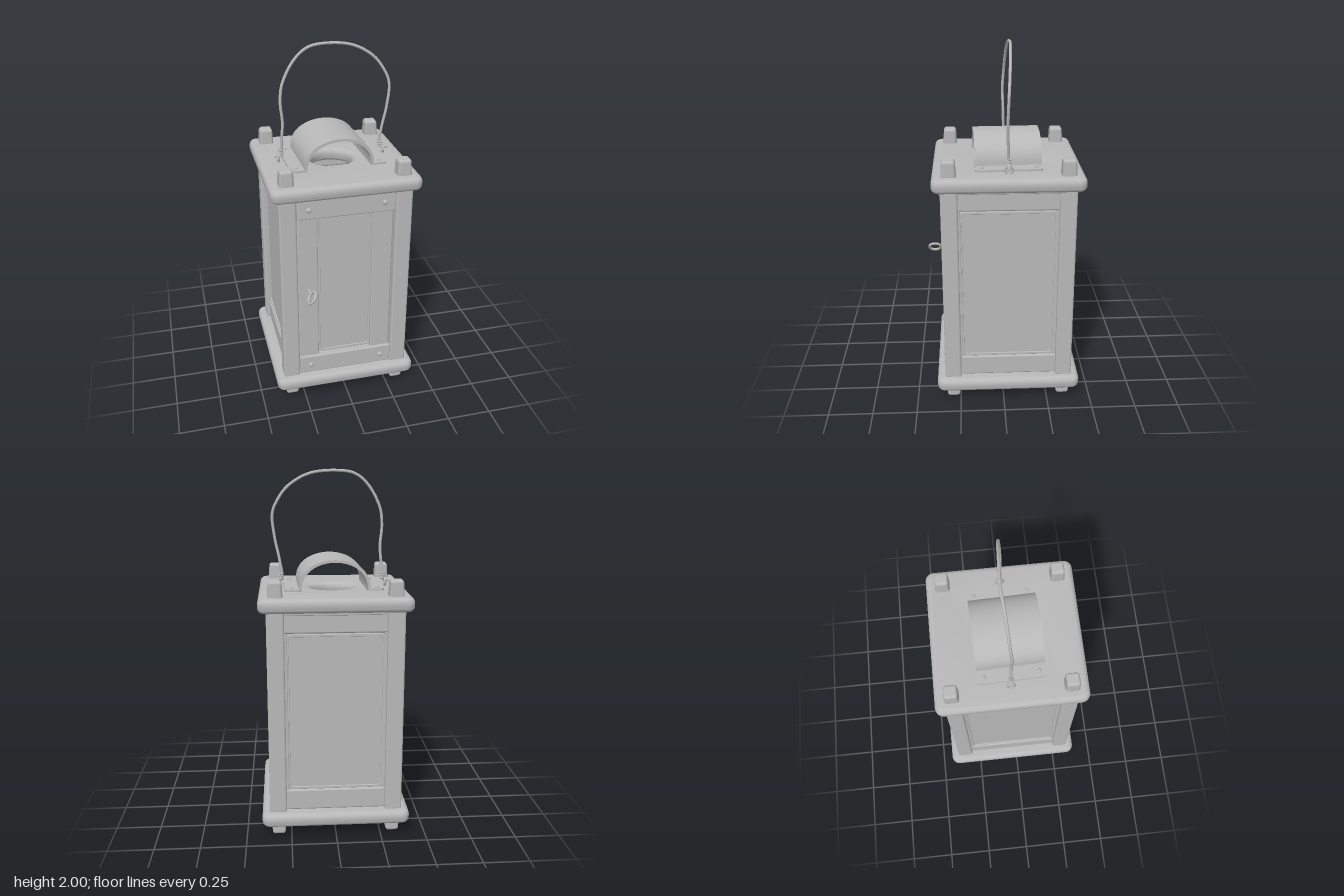
import * as THREE from 'three';
import { toCreasedNormals } from 'three/addons/utils/BufferGeometryUtils.js';
import { RoundedBoxGeometry } from 'three/addons/geometries/RoundedBoxGeometry.js';

const CZ = -0.027; // depth centre of the lantern body

export function createModel() {
  const root = new THREE.Group();
  const grey = new THREE.MeshStandardMaterial({ color: 0xb8b8b8 });

  const add = (name, geo, x = 0, y = 0, z = 0, parent = root) => {
    const m = new THREE.Mesh(geo, grey);
    m.name = name;
    m.position.set(x, y, z);
    parent.add(m);
    return m;
  };
  const bar = (w, h, d, r = 0.01) => new RoundedBoxGeometry(w, h, d, 3, r);

  const roundRect = (w, h, r, Type = THREE.Shape) => {
    const s = new Type(), a = w / 2, b = h / 2;
    s.moveTo(-a + r, -b);
    s.lineTo(a - r, -b); s.quadraticCurveTo(a, -b, a, -b + r);
    s.lineTo(a, b - r); s.quadraticCurveTo(a, b, a - r, b);
    s.lineTo(-a + r, b); s.quadraticCurveTo(-a, b, -a, b - r);
    s.lineTo(-a, -b + r); s.quadraticCurveTo(-a, -b, -a + r, -b);
    return s;
  };

  // Base and roof slabs with rounded edges; the roof has a smoke hole
  const slab = (hole) => {
    const bevel = 0.03, shape = roundRect(0.825 - 2 * bevel, 0.82 - 2 * bevel, 0.02);
    if (hole) shape.holes.push(new THREE.Path().absarc(0, 0, 0.15, 0, Math.PI * 2, true));
    const g = new THREE.ExtrudeGeometry(shape, {
      depth: 0.018, bevelThickness: bevel, bevelSize: bevel, bevelSegments: 5, curveSegments: 20,
    });
    g.rotateX(-Math.PI / 2);
    return toCreasedNormals(g, 0.7);
  };
  add('base', slab(false), 0, 0.095, CZ);
  add('roof', slab(true), 0, 1.307, CZ);

  // Corner posts with tapered tenons above the roof and feet below the base
  const tenon = (h, dir) => {
    const g = new RoundedBoxGeometry(0.084, h, 0.084, 4, 0.017);
    const p = g.attributes.position;
    for (let i = 0; i < p.count; i++) {
      const k = 1 - 0.15 * (0.5 + dir * p.getY(i) / h);
      p.setX(i, p.getX(i) * k);
      p.setZ(i, p.getZ(i) * k);
    }
    return g;
  };
  for (const sx of [-1, 1]) {
    for (const sz of [-1, 1]) {
      add('post', bar(0.095, 1.16, 0.093, 0.012), sx * 0.322, 0.715, CZ + sz * 0.318);
      add('postTop', tenon(0.12, 1), sx * 0.32, 1.382, CZ + sz * 0.318);
      add('foot', tenon(0.1, -1), sx * 0.32, 0.05, CZ + sz * 0.318);
    }
  }

  // Glass pane with a thin rounded rim, facing +z
  const pane = (w, h, parent, y, z) => {
    const ring = roundRect(w, h, 0.03);
    ring.holes.push(roundRect(w - 0.022, h - 0.022, 0.025, THREE.Path));
    add('paneRim', new THREE.ExtrudeGeometry(ring, {
      depth: 0.008, bevelThickness: 0.003, bevelSize: 0.002, bevelSegments: 2, curveSegments: 6,
    }), 0, y, z, parent);
    add('pane', new THREE.BoxGeometry(w, h, 0.008), 0, y, z, parent);
  };

  // Framed windows on the two sides and the back
  for (const [angle, dist] of [[Math.PI / 2, 0.365], [-Math.PI / 2, 0.365], [Math.PI, 0.36]]) {
    const wall = new THREE.Group();
    wall.name = 'windowWall';
    wall.position.z = CZ;
    wall.rotation.y = angle;
    root.add(wall);
    add('topRail', bar(0.56, 0.11, 0.03), 0, 1.215, dist - 0.03, wall);
    add('topLip', bar(0.56, 0.025, 0.02, 0.005), 0, 1.27, dist - 0.02, wall);
    add('bottomRail', bar(0.56, 0.12, 0.03), 0, 0.205, dist - 0.03, wall);
    for (const s of [-1, 1]) add('stile', bar(0.025, 1.13, 0.03, 0.006), s * 0.272, 0.71, dist - 0.035, wall);
    pane(0.53, 0.885, wall, 0.71, dist - 0.034);
  }

  // Front door: two rails over a pair of stiles, rivets and a narrow pane
  const door = new THREE.Group();
  door.name = 'door';
  root.add(door);
  for (const y of [1.215, 0.205]) {
    add('doorRail', bar(0.545, 0.112, 0.03, 0.006), 0, y, 0.322, door);
    for (const s of [-1, 1]) {
      const rivet = add('doorRivet', new THREE.SphereGeometry(0.015, 14, 10), s * 0.21, y, 0.338, door);
      rivet.scale.z = 0.9;
    }
  }
  for (const s of [-1, 1]) add('doorStile', bar(0.115, 1.12, 0.03, 0.008), s * 0.212 - 0.003, 0.71, 0.304, door);
  pane(0.31, 0.89, door, 0.71, 0.292);

  // Ring pull on the door
  const pull = new THREE.Group();
  pull.name = 'ringPull';
  pull.position.set(-0.212, 0.71, 0.4);
  pull.rotation.z = -0.6;
  root.add(pull);
  add('pullRing', new THREE.TorusGeometry(0.035, 0.008, 10, 28).rotateY(Math.PI / 2), 0, 0, 0, pull);
  add('pullPin', new THREE.CylinderGeometry(0.008, 0.008, 0.06, 10).rotateX(Math.PI / 2), 0, 0, -0.065, pull);

  // Arched smoke cover: a bent strip with riveted flanges
  const cover = new THREE.Group();
  cover.name = 'smokeCover';
  cover.position.set(0, 1.355, -0.026);
  cover.rotation.y = 0.03;
  root.add(cover);
  const arch = (rx, ry, y0, list) => {
    for (let i = 0; i <= 28; i++) {
      const a = Math.PI * (1 - i / 28);
      list.push(new THREE.Vector2(rx * Math.cos(a), y0 + ry * Math.pow(Math.sin(a), 0.85)));
    }
    return list;
  };
  const outer = arch(0.195, 0.158, 0.012, []);
  const inner = arch(0.181, 0.156, 0, []).reverse();
  const strip = new THREE.Shape([...outer, ...inner]);
  const stripGeo = new THREE.ExtrudeGeometry(strip, { depth: 0.364, bevelEnabled: false });
  add('coverArch', toCreasedNormals(stripGeo, 0.6), 0, 0, -0.182, cover);
  for (const s of [-1, 1]) {
    const flange = new THREE.ExtrudeGeometry(roundRect(0.092, 0.364, 0.025), { depth: 0.012, bevelEnabled: false });
    add('coverFlange', flange.rotateX(-Math.PI / 2), s * 0.226, 0, 0, cover);
    for (const t of [-1, 1]) {
      add('coverRivet', new THREE.SphereGeometry(0.011, 12, 8), s * 0.236, 0.014, t * 0.147, cover);
    }
  }

  // Bent wire handle hooked into two eyelets
  const wire = (name, pts, r, n) => add(name, new THREE.TubeGeometry(
    new THREE.CatmullRomCurve3(pts.map((p) => new THREE.Vector3(...p))), n, r, 8));
  wire('handle', [
    [-0.325, 1.385, -0.032], [-0.29, 1.395, -0.028], [-0.28, 1.48, -0.027], [-0.272, 1.58, -0.025],
    [-0.281, 1.69, -0.022], [-0.268, 1.79, -0.028], [-0.2, 1.915, -0.036], [-0.125, 1.976, -0.043],
    [-0.02, 1.992, -0.05], [0.125, 1.976, -0.043], [0.235, 1.915, -0.037], [0.29, 1.85, -0.032],
    [0.328, 1.765, -0.026], [0.318, 1.63, -0.022], [0.292, 1.5, -0.025], [0.284, 1.4, -0.028],
    [0.332, 1.385, -0.03],
  ], 0.008, 120);
  for (const s of [-1, 1]) {
    add('eyelet', new THREE.TorusGeometry(0.02, 0.007, 8, 20).rotateY(Math.PI / 2), s * 0.302, 1.376, -0.029);
    // Twisted wire end
    const twist = [];
    for (let i = 0; i <= 16; i++) {
      const a = i * 1.18;
      twist.push([s * 0.287 + 0.012 * Math.cos(a), 1.39 + i * 0.0025, -0.028 + 0.012 * Math.sin(a)]);
    }
    wire('handleTwist', twist, 0.005, 60);
  }
  return root;
}
